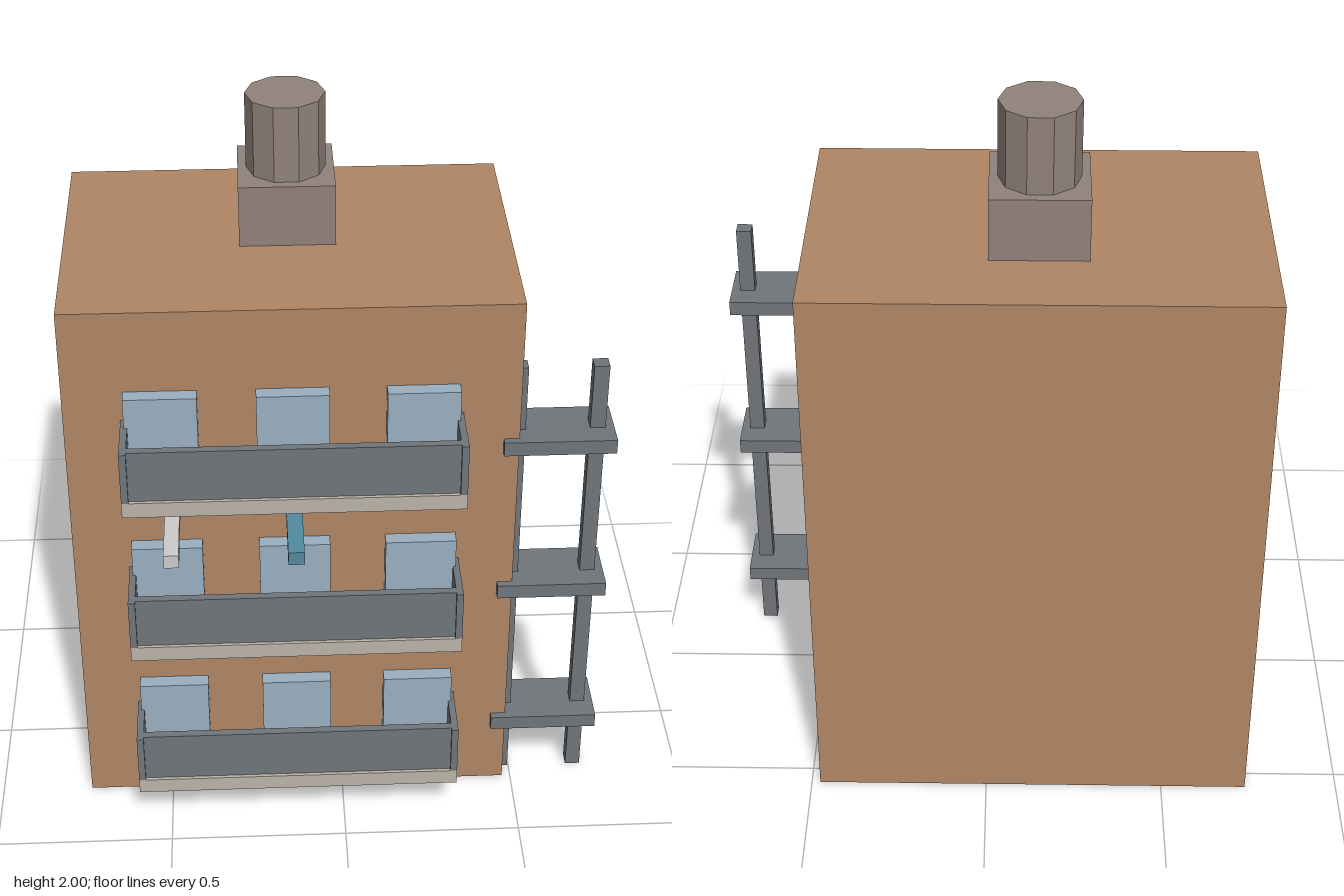
import * as THREE from 'three';

const mat = (color) => new THREE.MeshStandardMaterial({ color, flatShading: true });

export function createModel() {
  const model = new THREE.Group();
  const brick = mat(0xb08564);
  const metal = mat(0x70757a);
  const stone = mat(0xbab3a8);
  const glass = mat(0x9aafbf);
  const tankMat = mat(0x91827c);
  const teal = mat(0x528a9e);
  const pale = mat(0xbcbcbc);

  // Box from its minimum and maximum on each axis
  const box = (name, material, [x0, x1], [y0, y1], [z0, z1], parent = model) => {
    const mesh = new THREE.Mesh(new THREE.BoxGeometry(x1 - x0, y1 - y0, z1 - z0), material);
    mesh.position.set((x0 + x1) / 2, (y0 + y1) / 2, (z0 + z1) / 2);
    mesh.name = name;
    parent.add(mesh);
    return mesh;
  };

  // Main block
  const wall = 0.272;
  box('building', brick, [-0.74, 0.476], [0, 1.61], [-0.555, wall]);

  // Rooftop tank on its plinth
  box('tankBase', tankMat, [-0.263, -0.002], [1.61, 1.785], [-0.339, -0.078]);
  const tank = new THREE.Mesh(new THREE.CylinderGeometry(0.108, 0.108, 0.215, 10), tankMat);
  tank.name = 'roofTank';
  tank.rotation.y = Math.PI / 2;
  tank.position.set(-0.132, 1.8925, -0.209);
  model.add(tank);

  // Balconies: slab, three rail panels and three windows per floor
  for (const y of [0.131, 0.611, 1.09]) {
    const balcony = new THREE.Group();
    balcony.name = 'balcony';
    const rail = [y + 0.045, y + 0.196];
    box('balconySlab', stone, [-0.588, 0.322], [y, y + 0.045], [wall, 0.443], balcony);
    box('frontRail', metal, [-0.569, 0.303], rail, [0.41, 0.433], balcony);
    box('rightRail', metal, [-0.588, -0.569], rail, [wall, 0.443], balcony);
    box('leftRail', metal, [0.303, 0.322], rail, [wall, 0.443], balcony);
    for (const x of [-0.481, -0.132, 0.214]) {
      box('window', glass, [x - 0.097, x + 0.097], [y + 0.045, y + 0.283], [wall, 0.314], balcony);
    }
    model.add(balcony);
  }

  // Poles projecting from the front wall
  box('palePole', pale, [-0.48, -0.44], [1.005, 1.044], [wall, 0.555]);
  box('tealPole', teal, [-0.155, -0.112], [1.005, 1.044], [wall, 0.555]);

  // Fire escape on the left side
  const escape = new THREE.Group();
  escape.name = 'fireEscape';
  for (const x of [0.476, 0.693]) {
    box('escapePost', metal, [x - 0.021, x + 0.021], [0, 1.39], [0.186, 0.228], escape);
  }
  for (const y of [0.2, 0.678, 1.155]) {
    box('escapePlatform', metal, [0.433, 0.738], [y, y + 0.042], [0.12, 0.294], escape);
  }
  model.add(escape);

  return model;
}
